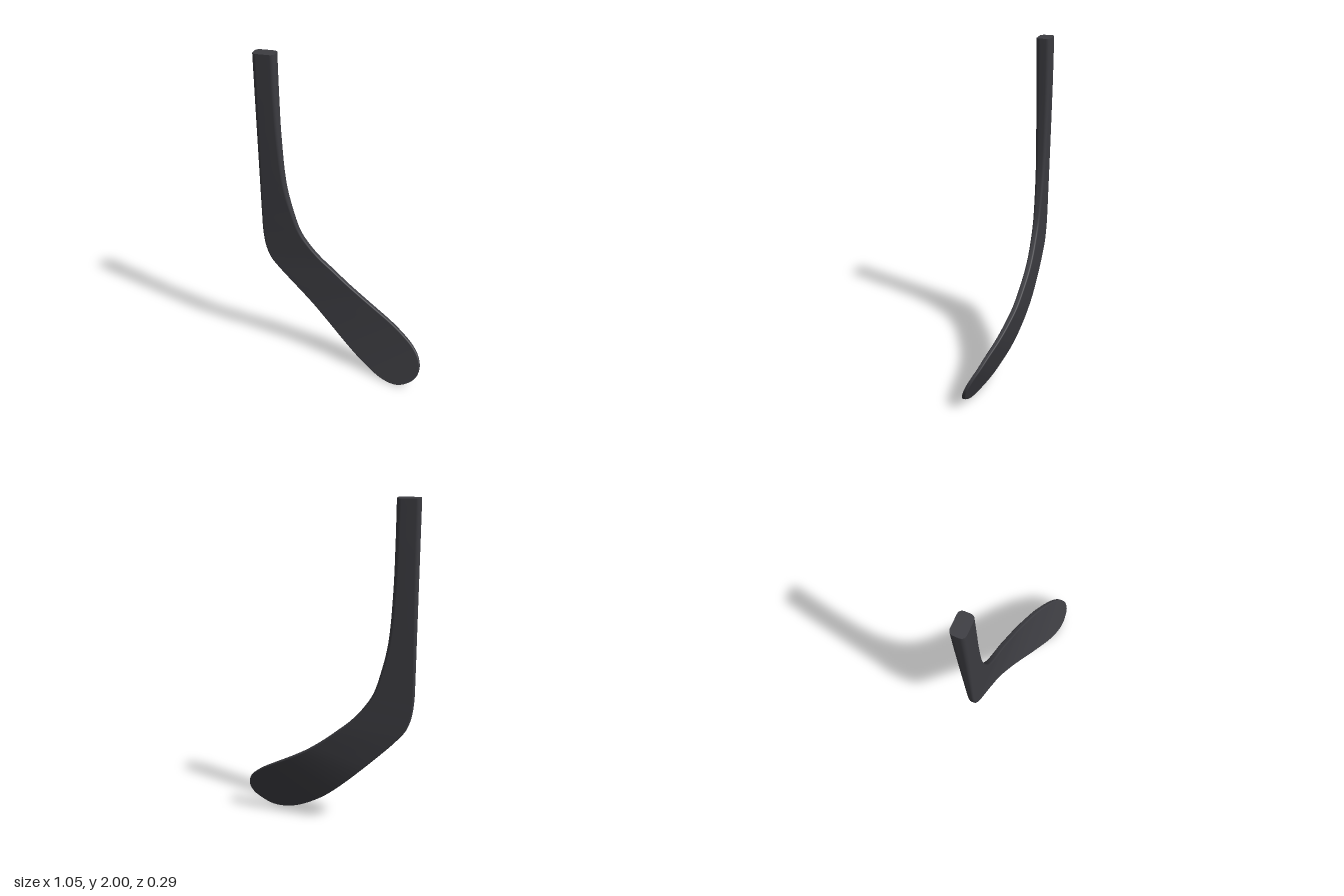
import * as THREE from 'three';

// Stations from shaft top to blade toe:
// heel edge x, y, z | inner edge x, y, z | thickness
const STATIONS = [
  [-0.53, 2.0, -0.103, -0.4, 2.0, -0.103, 0.086],
  [-0.53, 1.75, -0.103, -0.399, 1.75, -0.103, 0.082],
  [-0.53, 1.5, -0.103, -0.394, 1.5, -0.103, 0.072],
  [-0.53, 1.2, -0.103, -0.373, 1.2, -0.103, 0.058],
  [-0.53, 1.0, -0.103, -0.335, 1.02, -0.103, 0.048],
  [-0.528, 0.85, -0.103, -0.29, 0.88, -0.103, 0.041],
  [-0.515, 0.75, -0.103, -0.23, 0.785, -0.103, 0.037],
  [-0.485, 0.67, -0.102, -0.16, 0.705, -0.103, 0.035],
  [-0.43, 0.6, -0.1, -0.08, 0.635, -0.1, 0.034],
  [-0.33, 0.495, -0.095, 0.01, 0.56, -0.09, 0.033],
  [-0.22, 0.385, -0.084, 0.11, 0.487, -0.076, 0.032],
  [-0.11, 0.276, -0.06, 0.21, 0.425, -0.053, 0.031],
  [0.0, 0.175, -0.025, 0.31, 0.367, -0.025, 0.029],
  [0.1, 0.1, 0.016, 0.4, 0.31, 0.01, 0.027],
  [0.19, 0.046, 0.054, 0.465, 0.258, 0.04, 0.025],
  [0.26, 0.016, 0.085, 0.505, 0.21, 0.07, 0.024],
  [0.33, 0.001, 0.11, 0.524, 0.15, 0.1, 0.023],
  [0.39, 0.005, 0.125, 0.514, 0.098, 0.118, 0.022],
  [0.435, 0.024, 0.13, 0.49, 0.064, 0.126, 0.02],
  [0.458, 0.038, 0.13, 0.472, 0.048, 0.129, 0.016],
];
const ROWS = 120;
const CORNER = 5; // segments per rounded corner

// Rounded rectangle as [across, depth] offsets, starting at +across
function roundedSection(width, thickness) {
  const r = Math.min(width * 0.49, thickness * 0.3);
  const pts = [];
  for (let q = 0; q < 4; q++) {
    const sx = q === 0 || q === 3 ? 1 : -1;
    const sz = q < 2 ? 1 : -1;
    for (let k = 0; k <= CORNER; k++) {
      const a = (q + k / CORNER) * Math.PI / 2;
      pts.push([
        sx * (width / 2 - r) + r * Math.cos(a),
        sz * (thickness / 2 - r) + r * Math.sin(a),
      ]);
    }
  }
  return pts;
}

function loftGeometry() {
  const edge = (o) => new THREE.CatmullRomCurve3(
    STATIONS.map((s) => new THREE.Vector3(s[o], s[o + 1], s[o + 2])));
  const heel = edge(0), inner = edge(3);
  const pos = [], idx = [];
  const n = 4 * (CORNER + 1);
  for (let i = 0; i <= ROWS; i++) {
    const t = i / ROWS;
    const f = t * (STATIONS.length - 1);
    const k = Math.min(Math.floor(f), STATIONS.length - 2);
    const thick = THREE.MathUtils.lerp(STATIONS[k][6], STATIONS[k + 1][6], f - k);
    const a = heel.getPoint(t), b = inner.getPoint(t);
    const mid = a.clone().add(b).multiplyScalar(0.5);
    const dir = b.clone().sub(a);
    const width = dir.length();
    dir.normalize();
    for (const [u, v] of roundedSection(width, thick)) {
      pos.push(mid.x + dir.x * u, mid.y + dir.y * u, mid.z + dir.z * u + v);
    }
  }
  for (let i = 0; i < ROWS; i++) {
    for (let j = 0; j < n; j++) {
      const p = i * n + j, q = i * n + (j + 1) % n;
      idx.push(p, q, p + n, q, q + n, p + n);
    }
  }
  // Flat end caps with their own vertices
  for (const row of [0, ROWS]) {
    const start = pos.length / 3;
    const ring = pos.slice(row * n * 3, (row + 1) * n * 3);
    pos.push(...ring);
    for (let j = 1; j < n - 1; j++) {
      if (row === 0) idx.push(start, start + j + 1, start + j);
      else idx.push(start, start + j, start + j + 1);
    }
  }
  const g = new THREE.BufferGeometry();
  g.setAttribute('position', new THREE.Float32BufferAttribute(pos, 3));
  g.setIndex(idx);
  g.computeVertexNormals();
  return g;
}

export function createModel() {
  const group = new THREE.Group();
  group.name = 'hockeyStickBlade';
  // Shaft and curved blade in one continuous body
  const body = new THREE.Mesh(loftGeometry(), new THREE.MeshStandardMaterial({ color: 0x3c3c41 }));
  body.name = 'shaftAndBlade';
  group.add(body);
  return group;
}
